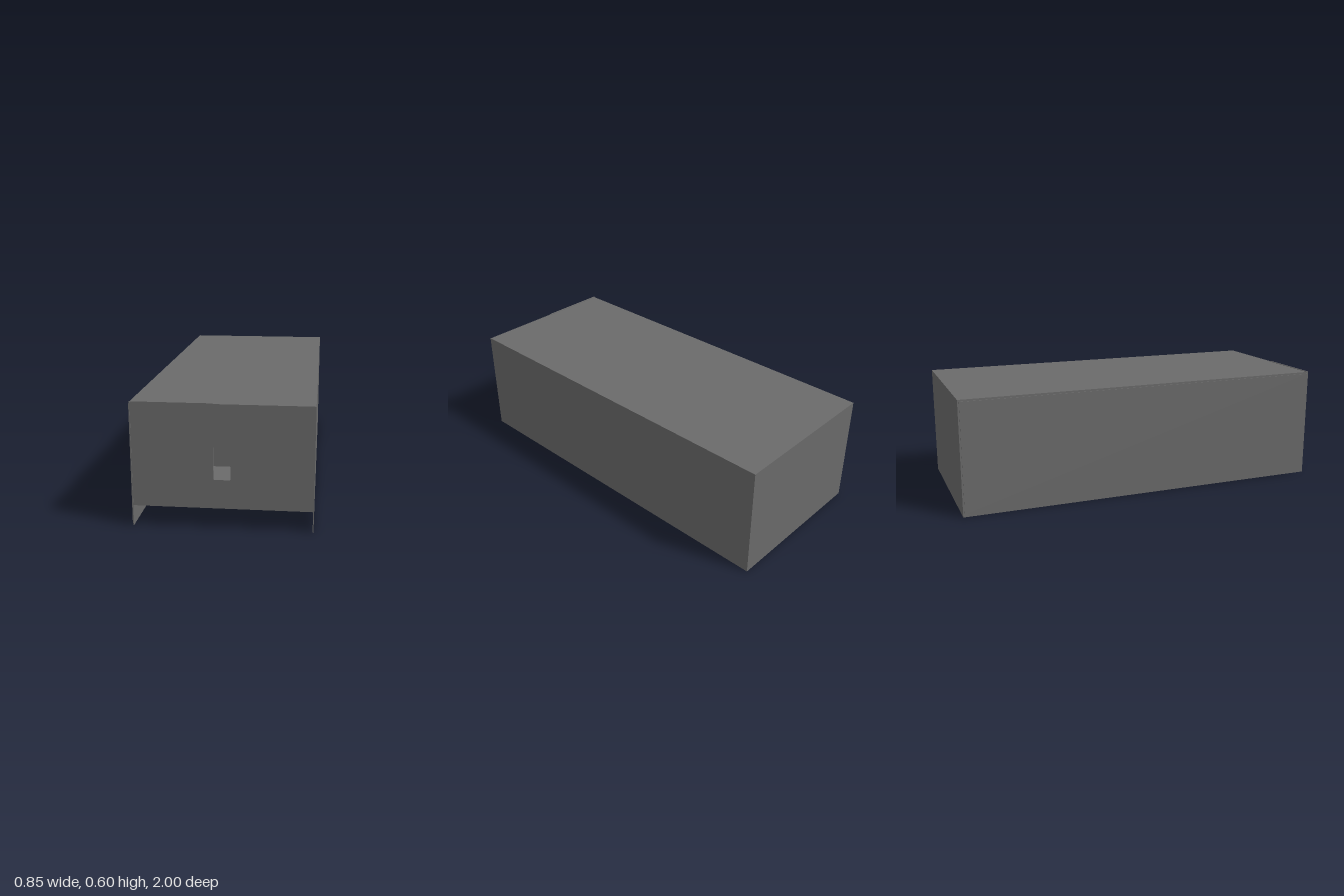
import * as THREE from 'three';

export function createModel() {
  const model = new THREE.Group();
  model.name = 'building';
  const grey = new THREE.MeshStandardMaterial({ color: 0x6a6a6a });
  grey.name = 'concrete grey';

  const add = (name, geometry) => {
    const mesh = new THREE.Mesh(geometry, grey);
    mesh.name = name;
    model.add(mesh);
    return mesh;
  };
  // Box given by its lower and upper limits on each axis
  const box = (name, [x0, x1], [y0, y1], [z0, z1]) => {
    const g = new THREE.BoxGeometry(x1 - x0, y1 - y0, z1 - z0);
    return add(name, g.translate((x0 + x1) / 2, (y0 + y1) / 2, (z0 + z1) / 2));
  };
  const shapeOf = (points) => new THREE.Shape(points.map(([a, b]) => new THREE.Vector2(a, b)));
  const extrude = (shape, depth) => new THREE.ExtrudeGeometry(shape, { depth, bevelEnabled: false });

  const W = 0.425; // half width
  const I = 0.421; // half width inside the side walls

  // Thin outer shell; side walls hang below the raised front floor
  box('leftWall', [I, W], [0, 0.6], [-0.998, 1]);
  box('rightWall', [-W, -I], [0, 0.6], [-0.998, 1]);
  box('rightCladding', [-0.429, -W], [0.015, 0.59], [-0.992, 0.992]);
  box('backWall', [-W, W], [0, 0.6], [-1, -0.996]);
  box('roof', [-I, I], [0.592, 0.6], [-0.996, 0.99]);

  // Front wall with a small window opening
  const front = shapeOf([[-W, 0.1], [W, 0.1], [W, 0.6], [-0.04, 0.6], [-0.04, 0.603], [-W, 0.603]]);
  front.holes.push(new THREE.Path([
    [-0.04, 0.243], [-0.037, 0.24], [0.037, 0.24], [0.04, 0.243],
    [0.04, 0.402], [0.037, 0.405], [-0.037, 0.405], [-0.04, 0.402],
  ].map(([x, y]) => new THREE.Vector2(x, y))));
  add('frontWall', extrude(front, 0.008).translate(0, 0, 0.989));

  // Small room behind the window
  box('roomFloor', [-0.14, 0.14], [0.23, 0.239], [0.79, 0.989]);
  box('roomCeiling', [-0.14, 0.14], [0.45, 0.46], [0.78, 0.989]);
  box('roomBackWall', [-0.14, 0.14], [0.239, 0.37], [0.79, 0.8]);
  box('roomUpperBackWall', [-0.14, 0.14], [0.37, 0.45], [0.78, 0.79]);
  for (const [name, s] of [['roomLeftWall', 1], ['roomRightWall', -1]]) {
    box(name, [s * 0.145 - 0.005, s * 0.145 + 0.005], [0.23, 0.46], [0.78, 0.989]);
  }

  // Raised floor of the front half
  box('raisedFloor', [-I, I], [0.1, 0.108], [-0.996, 0.99]);

  // Lower block at the rear with a tapering tongue towards the front
  const half = [[I, -0.996], [I, -0.32], [0.24, -0.32], [0.14, 0], [0.128, 0.025]];
  const base = shapeOf([...half, ...half.map(([x, z]) => [-x, z]).reverse()]);
  add('lowerBlock', extrude(base, 0.1).rotateX(Math.PI / 2).translate(0, 0.1, 0));

  // Sloping underside beside the tongue
  for (const [name, x] of [['leftRamp', I], ['rightRamp', -0.13]]) {
    const ramp = shapeOf([[-0.32, 0], [0, 0.1], [-0.32, 0.1]]);
    add(name, extrude(ramp, I - 0.13).rotateY(-Math.PI / 2).translate(x, 0, 0));
  }
  return model;
}
